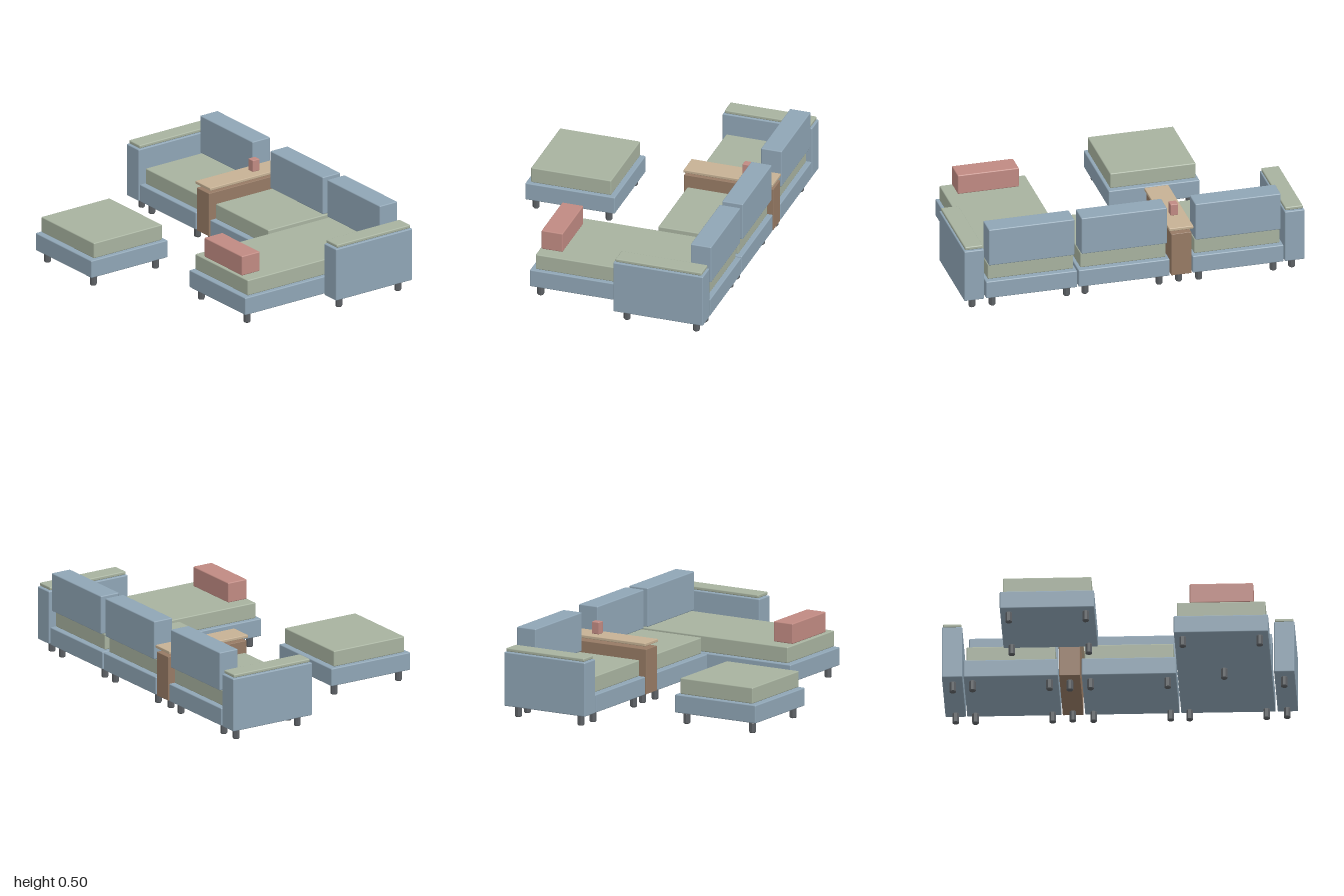
import * as THREE from 'three';
import { RoundedBoxGeometry } from 'three/addons/geometries/RoundedBoxGeometry.js';

const mat = (color, extra = {}) => new THREE.MeshStandardMaterial({ color, ...extra });
const fabric = mat(0x8fa5b5);
const cushionFabric = mat(0xa7b29f);
const wood = mat(0x967a64);
const lightWood = mat(0xc6b194);
const red = mat(0xc08a82);
const footMetal = mat(0x5c6064, { flatShading: true });

// Softly rounded block given by its extents [min, max] on each axis
function block(parent, name, material, [x0, x1], [y0, y1], [z0, z1], radius = 0.006) {
  const geometry = new RoundedBoxGeometry(x1 - x0, y1 - y0, z1 - z0, 2, radius);
  const mesh = new THREE.Mesh(geometry, material);
  mesh.name = name;
  mesh.position.set((x0 + x1) / 2, (y0 + y1) / 2, (z0 + z1) / 2);
  parent.add(mesh);
}

// Short octagonal foot with chamfered ends
const footGeometry = new THREE.LatheGeometry(
  [[0, 0], [0.016, 0], [0.02, 0.005], [0.02, 0.057], [0.016, 0.062], [0, 0.062]]
    .map(([r, y]) => new THREE.Vector2(r, y)), 8, Math.PI / 8);

function feet(parent, spots) {
  for (const [x, z] of spots) {
    const foot = new THREE.Mesh(footGeometry, footMetal);
    foot.name = 'foot';
    foot.position.set(x, 0, z);
    parent.add(foot);
  }
}

const BACK = -0.724, FRONT = -0.189;
const BASE_Y = [0.066, 0.171], CUSHION_Y = [0.174, 0.267];

// Upholstered base, seat cushion, corner feet and an optional backrest
function seatModule(parent, name, cx, z0, z1, hasBack) {
  const g = new THREE.Group();
  g.name = name;
  const baseX = [cx - 0.267, cx + 0.267], cushionX = [cx - 0.251, cx + 0.251];
  block(g, 'base', fabric, baseX, BASE_Y, [z0, z1]);
  block(g, 'seatCushion', cushionFabric, cushionX, CUSHION_Y, [z0 + 0.027, z1 - 0.029]);
  if (hasBack) block(g, 'backrest', fabric, cushionX, [0.272, 0.498], [z0, -0.6]);
  for (const x of [cx - 0.218, cx + 0.218]) feet(g, [[x, z0 + 0.05], [x, z1 - 0.049]]);
  parent.add(g);
  return g;
}

export function createModel() {
  const model = new THREE.Group();
  model.name = 'sectionalSofa';

  // Seats, chaise and loose ottoman
  seatModule(model, 'rightSeat', -0.608, BACK, FRONT, true);
  seatModule(model, 'middleSeat', 0.06, BACK, FRONT, true);
  const chaise = seatModule(model, 'chaise', 0.603, BACK, 0.357, true);
  feet(chaise, [[0.603, -0.127]]);
  seatModule(model, 'ottoman', -0.367, 0.186, 0.722, false);

  // Armrests with a pad on top
  for (const side of [-1, 1]) {
    const arm = new THREE.Group();
    arm.name = side < 0 ? 'rightArm' : 'leftArm';
    const span = (a, b) => (side < 0 ? [-b, -a] : [a, b]);
    block(arm, 'armBody', fabric, span(0.882, 0.998), [0.066, 0.379], [BACK, -0.187]);
    block(arm, 'armPad', cushionFabric, span(0.887, 0.991), [0.382, 0.402], [-0.714, -0.198]);
    feet(arm, [[side * 0.938, -0.665], [side * 0.938, -0.25]]);
    model.add(arm);
  }

  // Console with a raised tabletop and a small cup
  const consoleTable = new THREE.Group();
  consoleTable.name = 'console';
  block(consoleTable, 'consoleBody', wood, [-0.334, -0.216], [0.066, 0.327], [BACK, FRONT], 0.003);
  block(consoleTable, 'tabletop', lightWood, [-0.346, -0.204], [0.346, 0.364], [BACK, FRONT], 0.004);
  block(consoleTable, 'cup', red, [-0.298, -0.253], [0.366, 0.436], [-0.574, -0.525], 0.004);
  feet(consoleTable, [[-0.275, -0.665], [-0.275, -0.25]]);
  model.add(consoleTable);

  // Bolster pillow on the chaise
  block(model, 'bolsterPillow', red, [0.425, 0.784], [0.27, 0.388], [0.19, 0.317]);

  return model;
}
